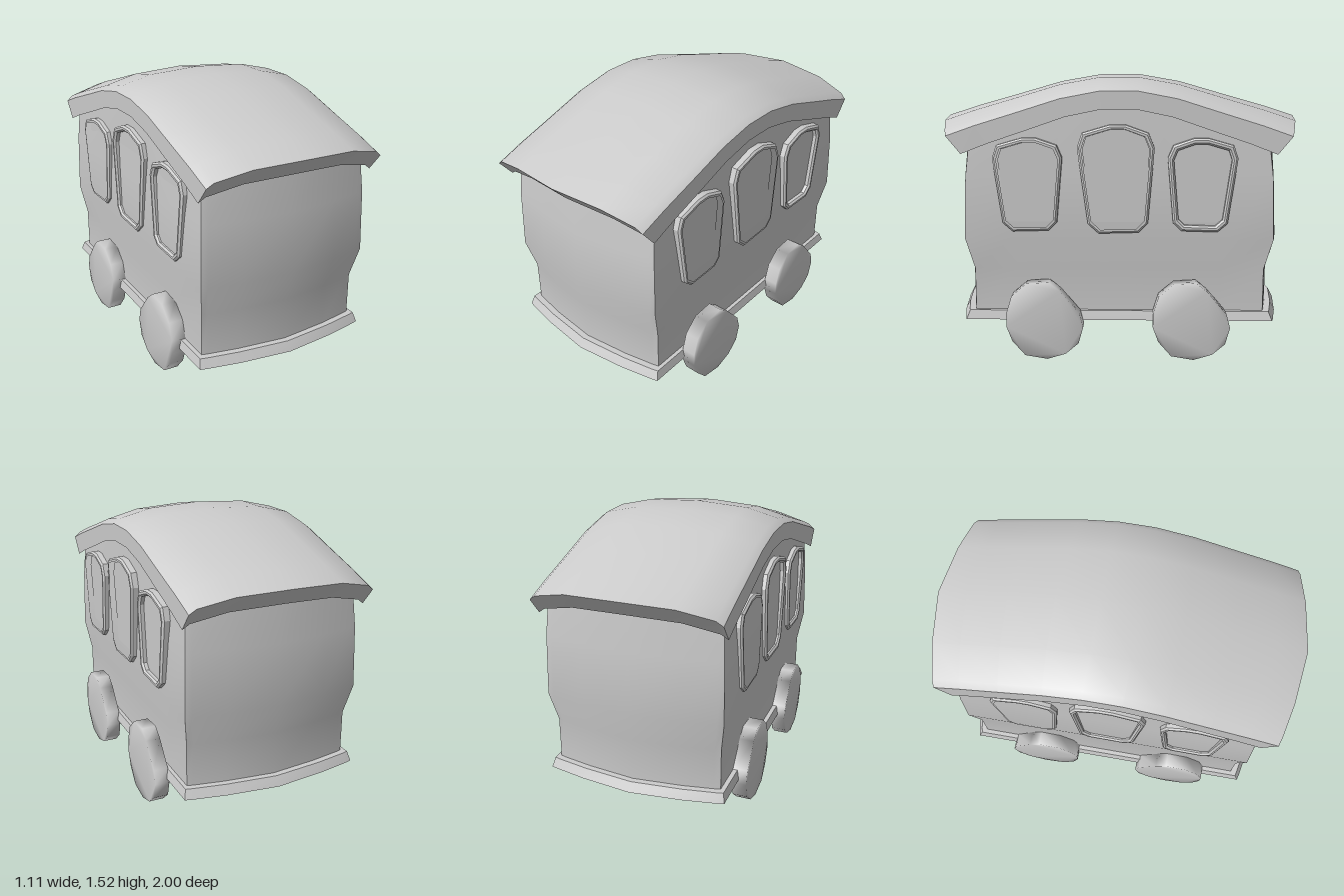
import * as THREE from 'three';
import { toCreasedNormals, mergeVertices } from 'three/addons/utils/BufferGeometryUtils.js';

const material = new THREE.MeshStandardMaterial({ color: 0xcccccc });

// Columns across the width: position, forward bow left at that column, drop of the roof crown
const U = [-1, -0.93, -0.57, 0, 0.57, 0.93, 1];
const BOW = [1, 0.88, 0.43, 0, 0.43, 0.88, 1];
const DROP = [0.085, 0.058, 0.015, 0, 0.015, 0.058, 0.085];

// Roof ridge as [z, y], mirrored front to back
const HALF_RIDGE = [[0.11, 1.525], [0.34, 1.485], [0.6, 1.41], [0.83, 1.345], [1, 1.29]];
const RIDGE = [...HALF_RIDGE.map(([z, y]) => [-z, y]).reverse(), ...HALF_RIDGE];

function ridgeHeight(z) {
  const a = Math.abs(z);
  if (a <= HALF_RIDGE[0][0]) return HALF_RIDGE[0][1];
  const i = Math.max(1, HALF_RIDGE.findIndex(([rz]) => rz >= a));
  const [z0, y0] = HALF_RIDGE[i - 1];
  const [z1, y1] = HALF_RIDGE[i];
  return y0 + (y1 - y0) * (a - z0) / (z1 - z0);
}

function addMesh(parent, name, geometry) {
  const mesh = new THREE.Mesh(geometry, material);
  mesh.name = name;
  parent.add(mesh);
  return mesh;
}

// Moves every grid vertex of a segmented box: rule(i, j, k) returns [x, y, z]
function warpedBox(nx, ny, nz, rule) {
  const geometry = new THREE.BoxGeometry(nx, ny, nz, nx, ny, nz);
  const p = geometry.attributes.position;
  for (let n = 0; n < p.count; n++) {
    const i = Math.round(p.getX(n) + nx / 2);
    const j = Math.round(p.getY(n) + ny / 2);
    const k = Math.round(p.getZ(n) + nz / 2);
    p.setXYZ(n, ...rule(i, j, k));
  }
  return toCreasedNormals(geometry, 0.6);
}

// Body rows: [y, half width, corner z, middle z]
const BODY = [
  [0.23, 0.465, 0.785, 0.855], [0.48, 0.465, 0.785, 0.855], [0.65, 0.492, 0.83, 0.9],
  [0.98, 0.485, 0.82, 0.88], [1.15, 0.472, 0.795, 0.86],
];
const W = [-1, -0.7, -0.4, -0.13, 0.13, 0.4, 0.7, 1];

function bodyGeometry() {
  return warpedBox(6, BODY.length - 1, 7, (i, j, k) => {
    const [y, hw, corner, middle] = BODY[j];
    const z = W[k] * (middle + (corner - middle) * BOW[i]);
    const isTop = j === BODY.length - 1;
    return [U[i] * hw - 0.01, isTop ? ridgeHeight(z) - DROP[i] - 0.07 : y, z];
  });
}

// Flared floor slab rows, bottom then top
const FLOOR = [[0.2, 0.5, 0.835, 0.915], [0.25, 0.488, 0.815, 0.888]];

function floorGeometry() {
  return warpedBox(6, 1, 1, (i, j, k) => {
    const [y, hw, corner, middle] = FLOOR[j];
    return [U[i] * hw - 0.012, y, (k * 2 - 1) * (middle + (corner - middle) * BOW[i])];
  });
}

// Arched roof whose lower face is drawn in towards the middle
function roofGeometry() {
  return warpedBox(6, 1, RIDGE.length - 1, (i, j, k) => {
    const [z, y] = RIDGE[k];
    const pull = (1 - 0.085 * BOW[i]) * (j ? 1 : 0.915);
    return [U[i] * 0.508 - 0.012, y - DROP[i] - (j ? 0 : 0.095), z * pull];
  });
}

// Uneven wheel outline as [z, y]
const WHEEL = [
  [0.21, 0.04], [0.18, 0.135], [0.1, 0.205], [-0.02, 0.212], [-0.08, 0.165], [-0.185, 0.04],
  [-0.205, -0.035], [-0.18, -0.125], [-0.11, -0.185], [-0.01, -0.215], [0.11, -0.195],
  [0.18, -0.115], [0.21, -0.035],
];

// Window outline in unit size, narrower at the sill
const WINDOW = [
  [1, 0.6], [0.88, 0.85], [0.15, 1], [-0.25, 1], [-0.85, 0.85], [-1, 0.6],
  [-0.83, -0.82], [-0.6, -0.98], [0.45, -1], [0.72, -0.83],
];

// Shape in the side plane, so that extruding then turning it faces outwards on that side
const sidePoints = (points, side, sz = 1, sy = 1) =>
  points.map(([z, y]) => new THREE.Vector2(-side * z * sz, y * sy));

function wheelGeometry(side) {
  const shape = new THREE.Shape(sidePoints(WHEEL, side));
  const geometry = new THREE.ExtrudeGeometry(shape, { depth: 0.08, bevelEnabled: false });
  geometry.deleteAttribute('uv');
  geometry.deleteAttribute('normal');
  geometry.rotateY(side * Math.PI / 2);
  const smooth = mergeVertices(geometry, 1e-4);
  smooth.computeVertexNormals();
  return smooth;
}

function addWindow(parent, side, z, y, hw, hh, flip) {
  const outline = inset => sidePoints(WINDOW, side, flip * (hw - inset), hh - inset);
  const frame = new THREE.Shape(outline(0.01));
  frame.holes.push(new THREE.Path(outline(0.022)));
  const frameGeometry = new THREE.ExtrudeGeometry(frame, {
    depth: 0.06, bevelThickness: 0.01, bevelSize: 0.01, bevelSegments: 1,
  });
  const paneGeometry = new THREE.ExtrudeGeometry(new THREE.Shape(outline(0.025)), {
    depth: 0.04, bevelEnabled: false,
  });
  const win = new THREE.Group();
  win.name = 'window';
  win.position.set(side * 0.445 - 0.005, y, z);
  win.rotation.y = side * Math.PI / 2;
  addMesh(win, 'windowFrame', toCreasedNormals(frameGeometry, 0.4));
  addMesh(win, 'windowPane', paneGeometry);
  parent.add(win);
}

export function createModel() {
  const model = new THREE.Group();
  model.name = 'railwayCarriage';
  addMesh(model, 'floor', floorGeometry());
  addMesh(model, 'body', bodyGeometry());
  addMesh(model, 'roof', roofGeometry());

  for (const side of [1, -1]) {
    for (const z of [0.395, -0.395]) {
      addMesh(model, 'wheel', wheelGeometry(side)).position.set(side * 0.475, 0.215, z);
    }
    addWindow(model, side, 0.485, 0.945, 0.185, 0.25, 1);
    addWindow(model, side, 0.015, 0.975, 0.205, 0.29, 1);
    addWindow(model, side, -0.445, 0.945, 0.185, 0.25, -1);
  }
  return model;
}
